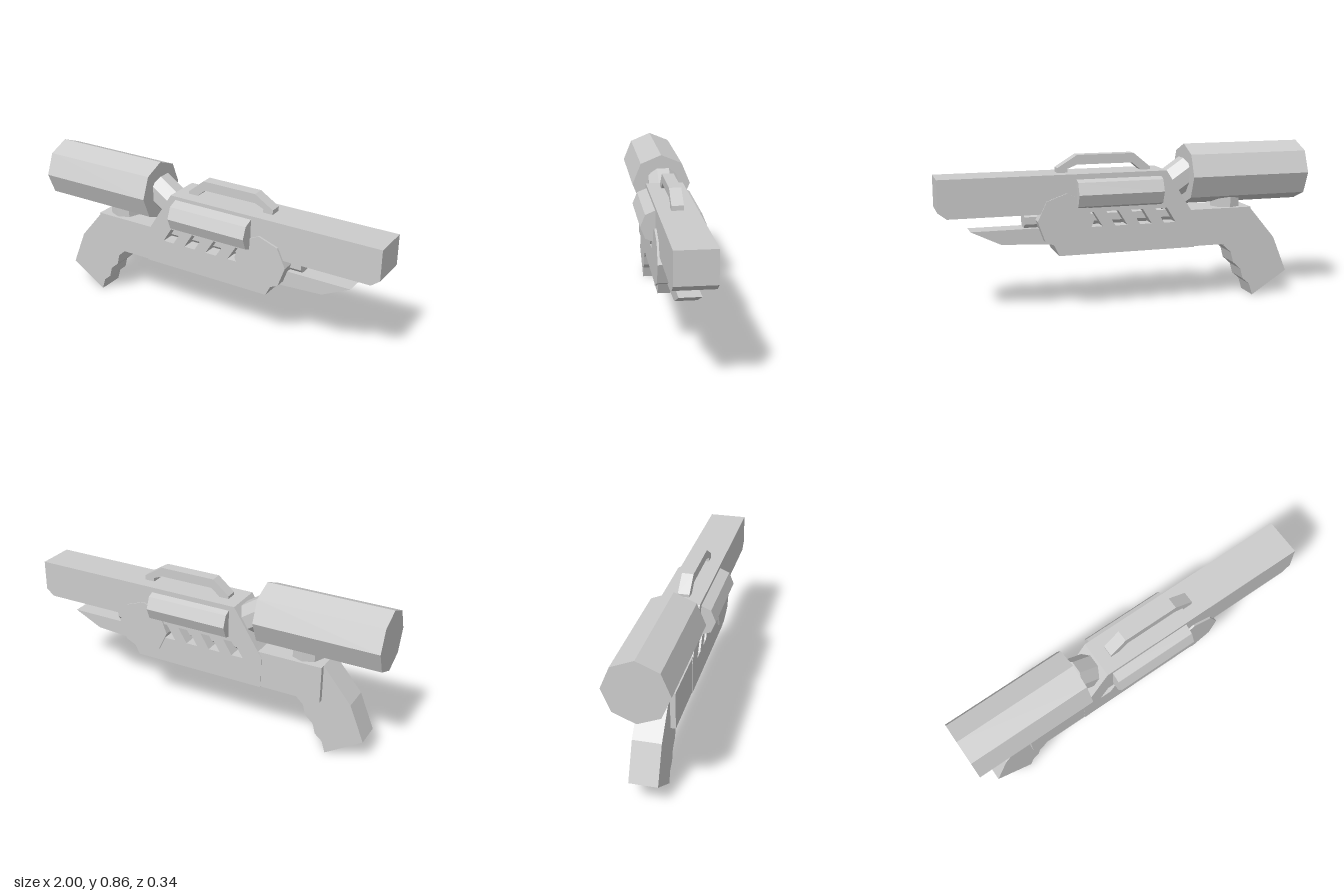
import * as THREE from 'three';

const MID = -0.009; // depth centre of the body
const material = new THREE.MeshStandardMaterial({ color: 0xcccccc, flatShading: true });

export function createModel() {
  const model = new THREE.Group();
  model.name = 'blaster';

  function add(name, geometry) {
    const mesh = new THREE.Mesh(geometry, material);
    mesh.name = name;
    model.add(mesh);
    return mesh;
  }

  // Side profile extruded across the depth
  function slab(name, points, width) {
    const shape = new THREE.Shape(points.map(([x, y]) => new THREE.Vector2(x, y)));
    const geometry = new THREE.ExtrudeGeometry(shape, { depth: width, bevelEnabled: false });
    geometry.translate(0, 0, MID - width / 2);
    return add(name, geometry);
  }

  // Octagonal cylinder between two points
  function rod(name, from, to, radius) {
    const a = new THREE.Vector3(...from), b = new THREE.Vector3(...to);
    const mesh = add(name, new THREE.CylinderGeometry(radius, radius, a.distanceTo(b), 8));
    mesh.position.copy(a).add(b).multiplyScalar(0.5);
    mesh.quaternion.setFromUnitVectors(new THREE.Vector3(0, 1, 0), b.sub(a).normalize());
    return mesh;
  }

  // Main body
  slab('barrel', [[-0.327, 0.53], [0.955, 0.53], [1, 0.565], [1, 0.73], [-0.2, 0.73]], 0.204);
  slab('lowerBody', [[-0.36, 0.306], [0.385, 0.306], [0.455, 0.45], [-0.36, 0.45]], 0.204);
  slab('rearBody', [[-0.36, 0.45], [-0.253, 0.45], [-0.203, 0.53], [-0.327, 0.53], [-0.36, 0.48]], 0.204);
  slab('stock', [[-0.69, 0.31], [-0.34, 0.31], [-0.34, 0.51], [-0.69, 0.51]], 0.2);

  // Slanted ribs leaving open vents around the inner rod
  for (let i = 0; i < 4; i++) {
    const x = -0.188 + i * 0.135;
    slab('ventRib', [[x, 0.45], [x + 0.07, 0.45], [x + 0.12, 0.53], [x + 0.05, 0.53]], 0.204);
  }
  rod('innerRod', [-0.3, 0.49, MID], [0.555, 0.49, MID], 0.05).rotateY(Math.PI / 8);

  // Grip with finger notches
  slab('grip', [
    [-0.69, 0.51], [-0.845, 0.325], [-0.925, 0.13], [-0.725, 0.002], [-0.705, 0.066],
    [-0.665, 0.1], [-0.65, 0.156], [-0.605, 0.197], [-0.59, 0.255], [-0.55, 0.292],
    [-0.54, 0.33], [-0.6, 0.42],
  ], 0.146);

  // Pointed blade under the barrel
  slab('frontBlade', [[0.35, 0.36], [0.41, 0.36], [0.68, 0.375], [0.835, 0.45], [0.35, 0.45]], 0.11);

  // Carry handle
  slab('carryHandle', [
    [-0.13, 0.725], [-0.075, 0.725], [-0.075, 0.732], [-0.03, 0.77], [0.27, 0.77], [0.32, 0.75],
    [0.32, 0.725], [0.375, 0.725], [0.375, 0.755], [0.27, 0.82], [-0.04, 0.82], [-0.13, 0.745],
  ], 0.062);

  // Rear tank with its feed pipe and post
  rod('tank', [-1, 0.694, -0.007], [-0.333, 0.694, -0.007], 0.163);
  rod('feedPipe', [-0.36, 0.718, -0.015], [-0.15, 0.576, -0.015], 0.088).rotateY(Math.PI / 8);
  rod('tankPost', [-0.575, 0.5, MID], [-0.575, 0.6, MID], 0.085);

  // Side canisters and the round hub
  for (const z of [0.082, -0.081]) {
    rod('sideCanister', [-0.17, 0.627, z], [0.29, 0.627, z], 0.088);
  }
  rod('hub', [0.35, 0.486, -0.118], [0.35, 0.486, 0.104], 0.148).rotateY(0.05);

  return model;
}
